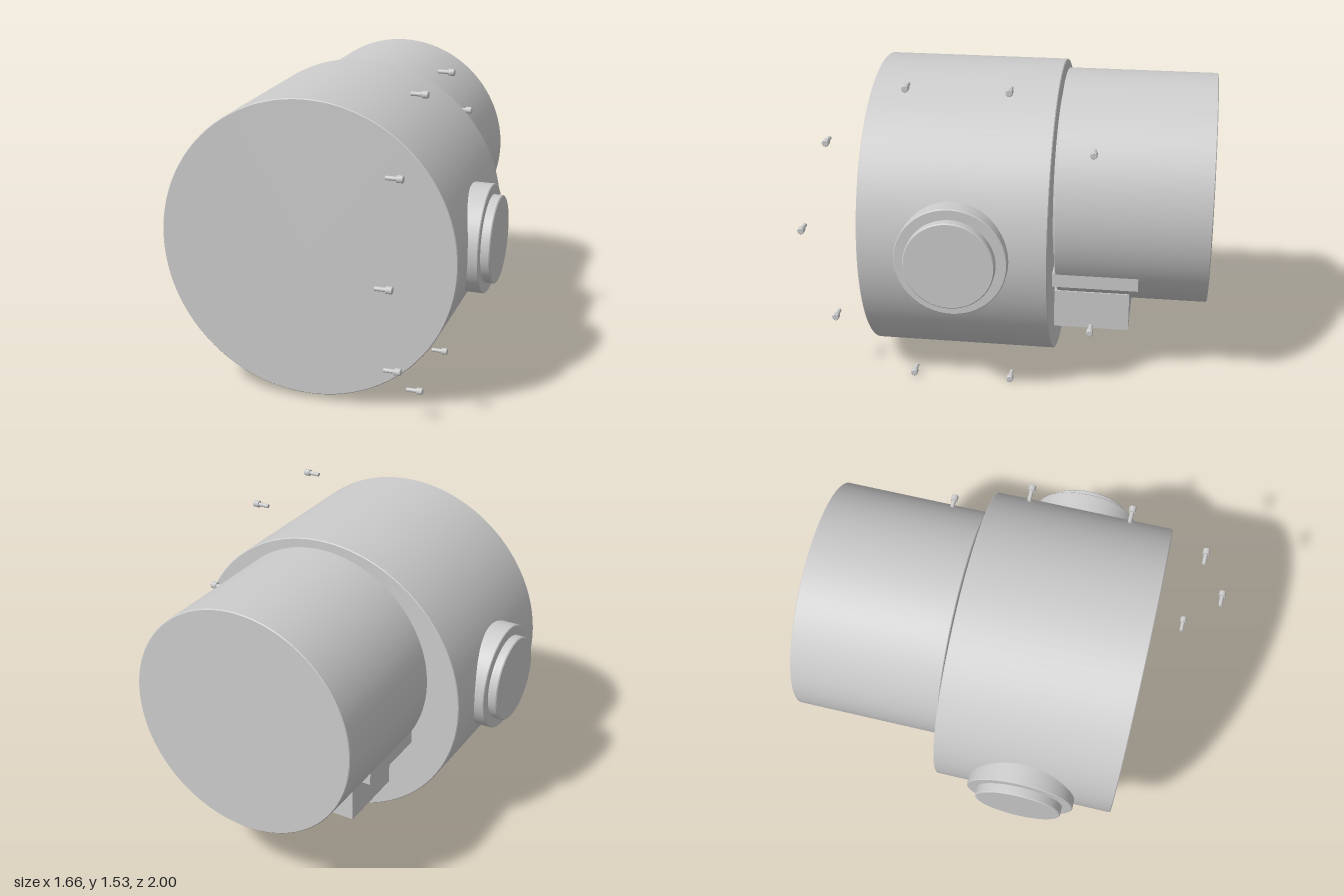
import * as THREE from 'three';
import { toCreasedNormals } from 'three/addons/utils/BufferGeometryUtils.js';

const AXIS_Y = 0.767, AXIS_Z = 0.196;

export function createModel() {
  const model = new THREE.Group();
  const material = new THREE.MeshStandardMaterial({ color: 0xcccccc });

  const add = (name, geometry, x, y, z) => {
    const mesh = new THREE.Mesh(geometry, material);
    mesh.name = name;
    mesh.position.set(x, y, z);
    model.add(mesh);
    return mesh;
  };

  // Solid of revolution about y from [radius, height] points, crisp at the edges
  const turned = (points, sides) => toCreasedNormals(
    new THREE.LatheGeometry(points.map(([r, h]) => new THREE.Vector2(r, h)), sides), 0.5);

  // Closed cylinder along z with finely bevelled rims
  const drum = (r, z0, z1, b = 0.004) => turned(
    [[0, z0], [r - b, z0], [r, z0 + b], [r, z1 - b], [r - b, z1], [0, z1]], 96).rotateX(Math.PI / 2);

  // Main body, short neck and rear housing
  add('mainDrum', drum(0.737, -0.25, 0.65), 0, AXIS_Y, 0);
  add('neck', drum(0.495, -0.28, -0.24), 0, 0.893, 0);
  add('rearHousing', drum(0.573, -1, -0.262), 0, 0.893, 0);

  // Junction box under the rear housing
  add('junctionBox', new THREE.BoxGeometry(0.74, 0.195, 0.38), 0, 0.3525, -0.43);

  // Stepped side caps and support rails, mirrored
  const capProfile = [[0, 0.5], [0.267, 0.5], [0.267, 0.781], [0.263, 0.785], [0.215, 0.785],
    [0.215, 0.825], [0.21, 0.83], [0, 0.83]];
  for (const side of [1, -1]) {
    const label = side > 0 ? 'left' : 'right';
    add(label + 'SideCap', turned(capProfile, 64).rotateZ(-side * Math.PI / 2), 0, AXIS_Y, AXIS_Z);
    add(label + 'Rail', new THREE.BoxGeometry(0.08, 0.072, 0.425), side * 0.45, 0.566, -0.4525);
  }

  // Ring of ten small bolts pointing along x
  const bolt = turned([[0, 0.445], [0.01, 0.445], [0.01, 0.498], [0.017, 0.498],
    [0.017, 0.525], [0.014, 0.528], [0, 0.528]], 20).rotateZ(-Math.PI / 2);
  for (let i = 0; i < 10; i++) {
    const a = i * Math.PI / 5;
    add('bolt' + (i + 1), bolt, 0, AXIS_Y + 0.785 * Math.sin(a), AXIS_Z + 0.785 * Math.cos(a));
  }

  return model;
}
